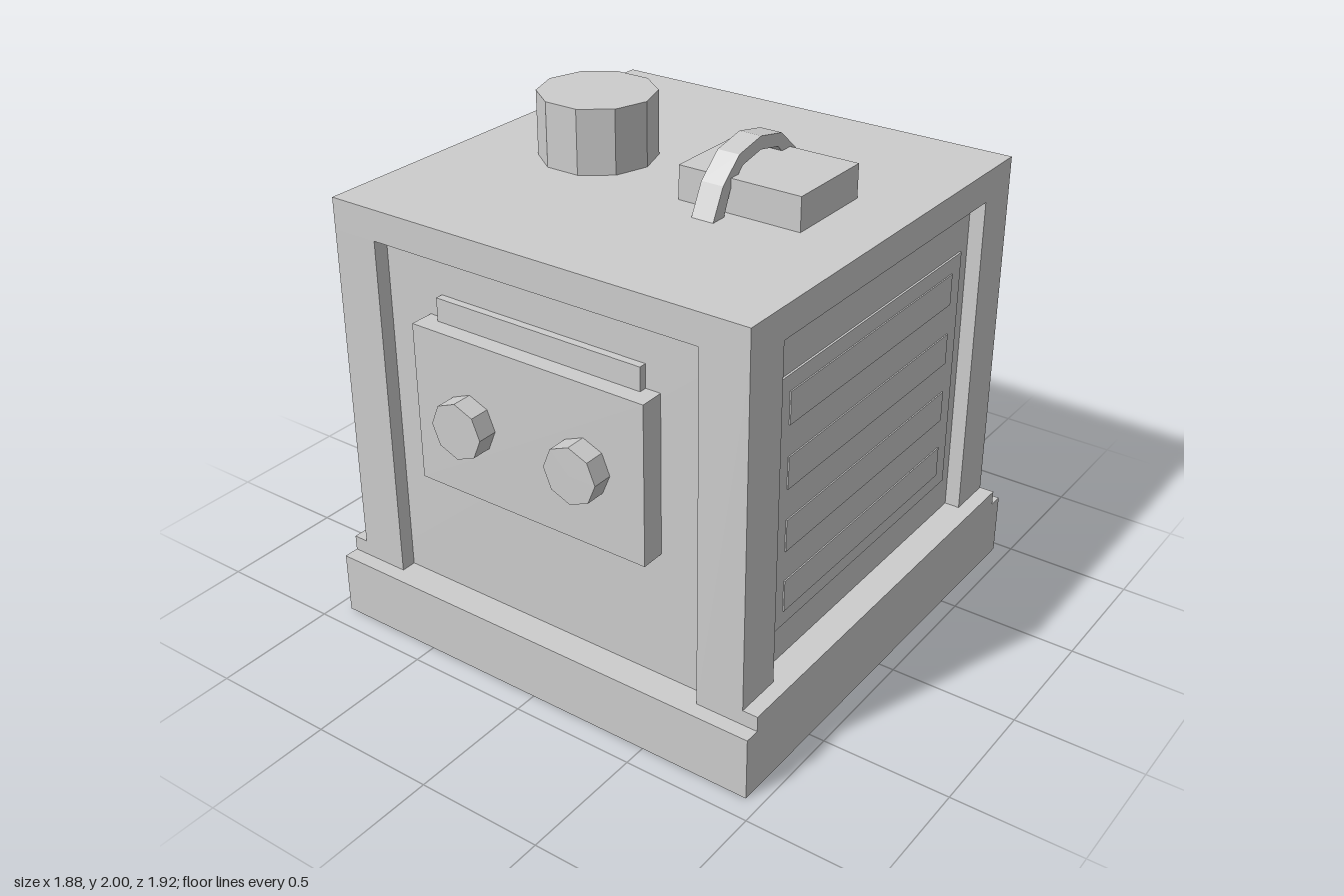
import * as THREE from 'three';

export function createModel() {
  const model = new THREE.Group();
  model.name = 'generator';
  const grey = new THREE.MeshStandardMaterial({ color: 0xcccccc });
  grey.name = 'plain grey';

  const add = (name, geometry) => {
    const mesh = new THREE.Mesh(geometry, grey);
    mesh.name = name;
    model.add(mesh);
    return mesh;
  };
  // Box given by its limits on each axis
  const box = (name, x0, x1, y0, y1, z0, z1) => {
    const g = new THREE.BoxGeometry(x1 - x0, y1 - y0, z1 - z0);
    g.translate((x0 + x1) / 2, (y0 + y1) / 2, (z0 + z1) / 2);
    return add(name, g);
  };
  // The same box on both sides of x = 0
  const pair = (name, x0, x1, y0, y1, z0, z1) => {
    box(name + 'Left', x0, x1, y0, y1, z0, z1);
    box(name + 'Right', -x1, -x0, y0, y1, z0, z1);
  };

  // Base with a raised ledge along each side
  box('base', -0.94, 0.94, 0, 0.25, -0.96, 0.91);
  pair('sideLedge', 0.8, 0.94, 0.25, 0.31, -0.9, 0.85);

  // Body: recessed core, corner posts and top slab
  box('core', -0.82, 0.82, 0.25, 1.63, -0.84, 0.79);
  pair('frontPost', 0.69, 0.88, 0.25, 1.63, 0.66, 0.85);
  pair('backPost', 0.69, 0.88, 0.25, 1.63, -0.9, -0.71);
  box('topSlab', -0.88, 0.88, 1.63, 1.75, -0.9, 0.85);

  // Side panels with shallow slats
  pair('sidePanel', 0.815, 0.828, 0.45, 1.44, -0.65, 0.605);
  for (let i = 0; i < 4; i++) {
    const y = 0.51 + i * 0.2475;
    pair('slat' + i, 0.82, 0.833, y, y + 0.125, -0.58, 0.53);
  }

  // Front control plate, rail and knobs
  box('controlPlate', -0.5, 0.5, 0.76, 1.38, 0.78, 0.885);
  box('frontRail', -0.44, 0.44, 1.37, 1.47, 0.78, 0.82);
  for (const x of [-0.25, 0.25]) {
    const g = new THREE.CylinderGeometry(0.11, 0.11, 0.09, 8).toNonIndexed();
    g.computeVertexNormals();
    g.rotateX(Math.PI / 2);
    add('knob', g).position.set(x, 1.065, 0.92);
  }

  // Back hatch frame with an open middle
  const rect = (shape, w, y0, y1) => shape.moveTo(-w, y0).lineTo(w, y0).lineTo(w, y1).lineTo(-w, y1).closePath();
  const hatch = rect(new THREE.Shape(), 0.56, 0.38, 0.94);
  hatch.holes.push(rect(new THREE.Path(), 0.475, 0.46, 0.86));
  add('backHatch', new THREE.ExtrudeGeometry(hatch, { depth: 0.1, bevelEnabled: false })).position.z = -0.93;

  // Back strip and buttons
  box('backStrip', -0.03, 0.48, 1.44, 1.53, -0.86, -0.83);
  box('backButton', -0.25, -0.115, 1.39, 1.515, -0.9, -0.83);
  box('backButton', -0.44, -0.305, 1.39, 1.515, -0.9, -0.83);

  // Ten-sided cap on top
  const cap = new THREE.CylinderGeometry(0.225, 0.225, 0.25, 10).toNonIndexed();
  cap.computeVertexNormals();
  cap.rotateY(Math.PI / 2);
  add('cap', cap).position.set(-0.38, 1.875, -0.027);

  // Top block with an arched handle over it
  box('topBlock', 0.12, 0.62, 1.75, 1.88, -0.215, 0.16);
  const outer = [[0.288, 1.75], [0.23, 1.865], [0.133, 1.95], [0, 1.977]];
  const inner = [[0, 1.927], [0.11, 1.905], [0.185, 1.84], [0.222, 1.75]];
  const mirror = (pts) => pts.slice().reverse().map(([u, v]) => [-u, v]);
  const outline = [...outer, ...mirror(outer).slice(1), ...mirror(inner), ...inner.slice(1)];
  const arch = new THREE.Shape(outline.map(([u, v]) => new THREE.Vector2(u, v)));
  const handle = new THREE.ExtrudeGeometry(arch, { depth: 0.09, bevelEnabled: false });
  handle.rotateY(Math.PI / 2);
  add('handle', handle).position.set(0.248, 0, -0.023);

  return model;
}
